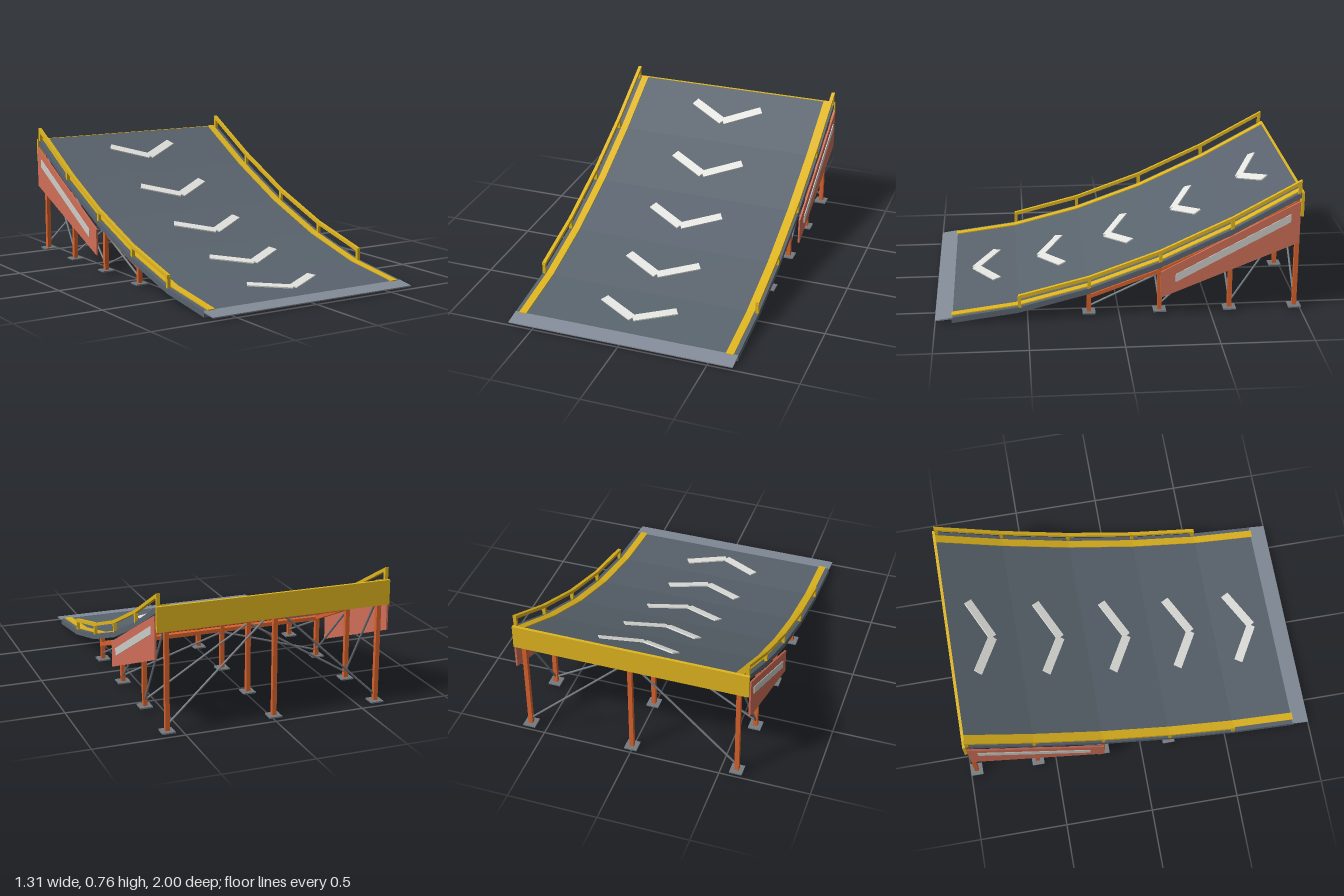
import * as THREE from 'three';

const mat = (name, color) => {
  const m = new THREE.MeshStandardMaterial({ color });
  m.name = name;
  return m;
};

// Ramp surface as [z, y], from the low front to the high back
const PROFILE = [[0.912, 0.032], [0.55, 0.08], [0.166, 0.178], [-0.22, 0.318], [-0.605, 0.497], [-0.97, 0.697]];
const ROWS = [0.166, -0.22, -0.605, -0.965];
const SIDES = [-1, 1];

function surfaceY(z) {
  for (let i = 0; i < PROFILE.length - 1; i++) {
    const [z0, y0] = PROFILE[i], [z1, y1] = PROFILE[i + 1];
    if (z >= z1) return y0 + (y1 - y0) * (z - z0) / (z1 - z0);
  }
  return PROFILE[PROFILE.length - 1][1];
}

export function createModel() {
  const model = new THREE.Group();
  model.name = 'ramp';

  const deckGrey = mat('deckGrey', 0x5a646e);
  const lipGrey = mat('lipGrey', 0x838c99);
  const steel = mat('steel', 0x737a80);
  const yellow = mat('safetyYellow', 0xdfb51f);
  const orange = mat('frameOrange', 0xd8622c);
  const red = mat('panelRed', 0xd06f58);
  const white = mat('markingWhite', 0xe4e4e0);
  const pale = mat('stripeGrey', 0xcccdc8);

  const add = (name, geo, material, parent = model) => {
    const m = new THREE.Mesh(geo, material);
    m.name = name;
    parent.add(m);
    return m;
  };
  const box = (name, w, h, d, x, y, z, material, parent) => {
    const m = add(name, new THREE.BoxGeometry(w, h, d), material, parent);
    m.position.set(x, y, z);
    return m;
  };
  // Polygon in the z-y plane, extruded across x and centred on the given x
  const slab = (name, points, x, width, material) => {
    const shape = new THREE.Shape(points.map(([z, y]) => new THREE.Vector2(z, y)));
    const geo = new THREE.ExtrudeGeometry(shape, { depth: width, bevelEnabled: false });
    geo.rotateY(-Math.PI / 2).translate(x + width / 2, 0, 0);
    return add(name, geo, material);
  };
  // Strip that follows the ramp between two heights relative to its surface
  const band = (name, path, low, high, x, width, material) => slab(name, [
    ...path.map(([z, y]) => [z, y + low]),
    ...path.map(([z, y]) => [z, y + high]).reverse(),
  ], x, width, material);
  // Round bar between two points
  const bar = (name, a, b, r, material) => {
    const p = new THREE.Vector3(...a), q = new THREE.Vector3(...b);
    const m = add(name, new THREE.CylinderGeometry(r, r, p.distanceTo(q), 8), material);
    m.position.copy(p).lerp(q, 0.5);
    m.quaternion.setFromUnitVectors(new THREE.Vector3(0, 1, 0), q.sub(p).normalize());
  };

  // Deck, entry lip and back plate
  band('deck', PROFILE, -0.032, 0, 0, 1.28, deckGrey);
  slab('entryLip', [[1, 0.014], [0.905, 0.024], [0.905, 0.034], [1, 0.02]], 0, 1.28, lipGrey);
  box('backPlate', 1.29, 0.135, 0.016, 0, 0.63, -0.977, yellow);

  // Chevron markings, one on each deck section
  for (let i = 0; i < PROFILE.length - 1; i++) {
    const [z0, y0] = PROFILE[i], [z1, y1] = PROFILE[i + 1];
    const chevron = new THREE.Group();
    chevron.name = 'chevron';
    chevron.position.set(0, (y0 + y1) / 2, (z0 + z1) / 2);
    chevron.rotation.x = Math.atan2(y1 - y0, z0 - z1);
    for (const s of SIDES) {
      const arm = box('chevronArm', 0.245, 0.008, 0.05, s * 0.107, 0.003, -0.008, white, chevron);
      arm.rotation.y = s * Math.PI / 6;
    }
    model.add(chevron);
  }

  for (const s of SIDES) {
    // Painted edge strip
    band('edgeStrip', PROFILE, -0.002, 0.006, s * 0.595, 0.042, yellow);

    // Guard rail with its posts
    band('guardRail', PROFILE.slice(1), 0.048, 0.068, s * 0.631, 0.02, yellow);
    for (const z of [0.543, ...ROWS.slice(0, 3), -0.961]) {
      box('railPost', 0.018, 0.062, 0.018, s * 0.631, surfaceY(z) + 0.026, z, yellow);
    }

    // Side panel with its stripe
    slab('sidePanel', [[-0.22, 0.115], [-0.22, 0.265], [-0.965, 0.65], [-0.965, 0.415]], s * 0.646, 0.01, red);
    slab('panelStripe', [[-0.3, 0.207], [-0.3, 0.252], [-0.915, 0.58], [-0.915, 0.535]], s * 0.652, 0.007, pale);

    // Sloping side beam and diagonal side braces
    band('sideBeam', ROWS.map(z => [z, surfaceY(z)]), -0.077, -0.055, s * 0.59, 0.022, orange);
    for (let i = 0; i < ROWS.length - 1; i++) {
      const z = ROWS[i], zn = ROWS[i + 1];
      bar('sideBrace', [s * 0.59, 0.055, z], [s * 0.59, surfaceY(zn) - 0.08, zn], 0.006, steel);
    }
  }

  // Support rows: posts, feet, cross beam and cross braces
  ROWS.forEach((z, i) => {
    const top = surfaceY(z);
    for (const x of [-0.59, 0, 0.59]) {
      const h = top - 0.025 - 0.02;
      box('supportPost', 0.024, h, 0.024, x, 0.02 + h / 2, z, orange);
      box('footPlate', 0.07, 0.008, 0.07, x, 0.022, z, steel);
    }
    box('crossBeam', 1.18, 0.022, 0.022, 0, top - 0.066, z, orange);
    if (i > 0) {
      for (const s of SIDES) bar('crossBrace', [s * 0.59, 0.055, z], [0, top - 0.08, z], 0.006, steel);
    }
  });

  return model;
}
